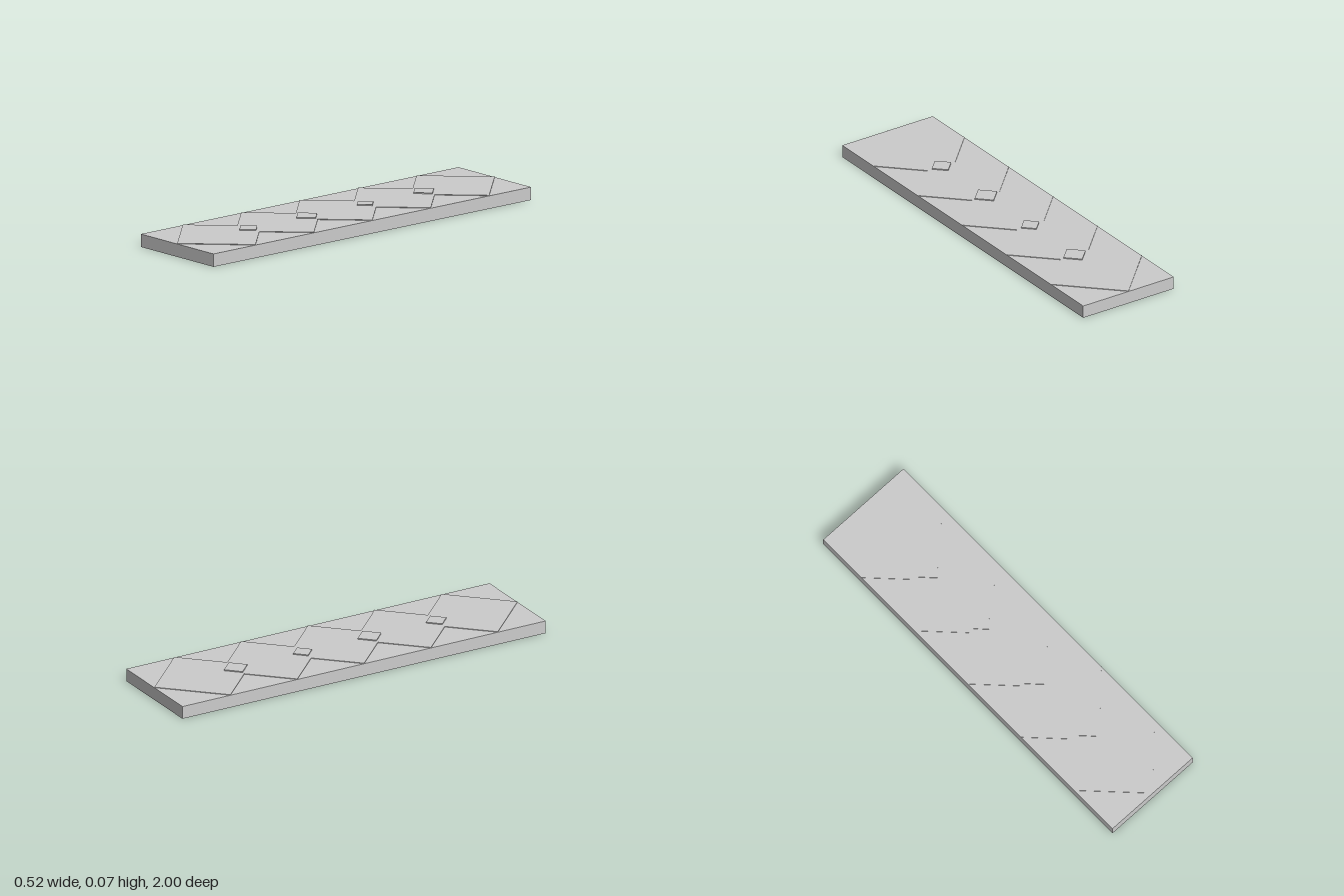
import * as THREE from 'three';

const material = new THREE.MeshStandardMaterial({ color: 0xcccccc, flatShading: true, side: THREE.DoubleSide });

// Four-sided shell: a flat top and vertical walls, open underneath.
// Corners are [x, z], counter-clockwise when seen from above.
function openShell(name, corners, height, z = 0) {
  const positions = [];
  corners.forEach(([ax, az], i) => {
    const [bx, bz] = corners[(i + 1) % 4];
    positions.push(ax, 0, az, bx, 0, bz, bx, height, bz);
    positions.push(ax, 0, az, bx, height, bz, ax, height, az);
  });
  for (const i of [0, 1, 2, 0, 2, 3]) positions.push(corners[i][0], height, corners[i][1]);
  const geometry = new THREE.BufferGeometry();
  geometry.setAttribute('position', new THREE.Float32BufferAttribute(positions, 3));
  geometry.computeVertexNormals();
  const mesh = new THREE.Mesh(geometry, material);
  mesh.name = name;
  mesh.position.z = z;
  return mesh;
}

const rectangle = (w, d) => [[-w, d], [w, d], [w, -d], [-w, -d]];
const diamond = (w, d) => [[0, d], [w, 0], [0, -d], [-w, 0]];

export function createModel() {
  const model = new THREE.Group();
  model.name = 'patternedSlab';
  const halfWidth = 0.261;
  const halfDiagonal = 0.264;
  const spacing = (1 - halfDiagonal) / 2;

  // Hollow base slab
  model.add(openShell('baseSlab', rectangle(halfWidth, 1), 0.063));

  // Row of five overlapping diamond panels, end to end
  for (let i = -2; i <= 2; i++) {
    model.add(openShell('diamondPanel', diamond(halfWidth, halfDiagonal), 0.066, i * spacing));
  }

  // Small raised diamonds where neighbouring panels overlap, slightly uneven in size
  [0.056, 0.065, 0.052, 0.064].forEach((size, i) => {
    model.add(openShell('raisedDiamond', diamond(size, size), 0.071, (1.5 - i) * spacing));
  });

  return model;
}
